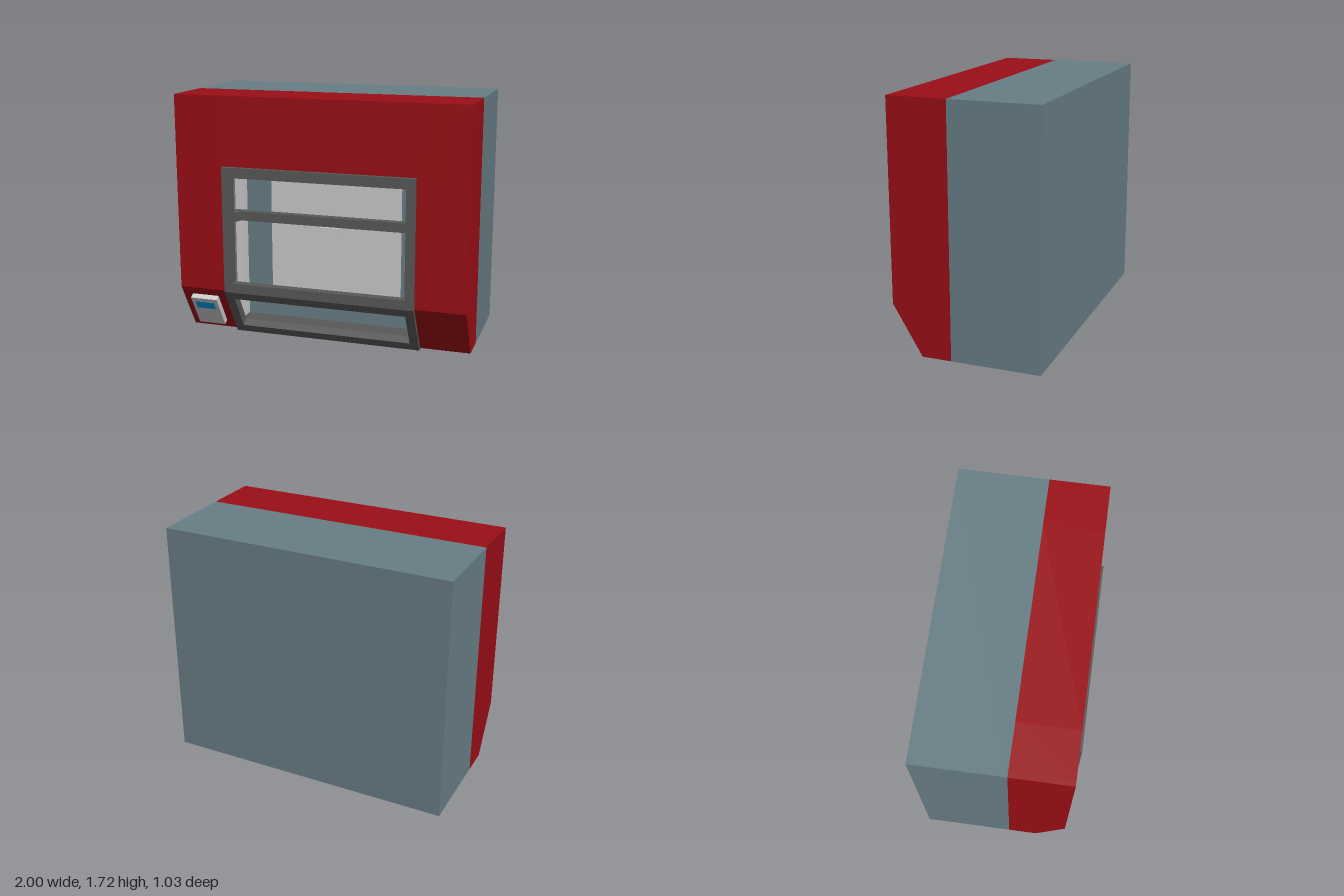
import * as THREE from 'three';

const mat = (color) => new THREE.MeshStandardMaterial({ color, flatShading: true });

export function createModel() {
  const model = new THREE.Group();
  const red = mat(0x9b0e16), slate = mat(0x687e86), dark = mat(0x595959);
  const grey = mat(0xcccccc), blue = mat(0x0b9ee8);

  const add = (name, geometry, material, parent = model) => {
    const mesh = new THREE.Mesh(geometry, material);
    mesh.name = name;
    parent.add(mesh);
    return mesh;
  };
  // Box given by its limits on each axis
  const box = (name, [x0, x1], [y0, y1], [z0, z1], material, parent) =>
    add(name, new THREE.BoxGeometry(x1 - x0, y1 - y0, z1 - z0)
      .translate((x0 + x1) / 2, (y0 + y1) / 2, (z0 + z1) / 2), material, parent);
  // Side profile of [z, y] points swept along x
  const sweep = (name, profile, x0, x1, material) => {
    const shape = new THREE.Shape(profile.map(([z, y]) => new THREE.Vector2(z, y)));
    const geometry = new THREE.ExtrudeGeometry(shape, { depth: x1 - x0, bevelEnabled: false });
    return add(name, geometry.rotateY(-Math.PI / 2).translate(x1, 0, 0), material);
  };

  // Rear housing
  box('rearHousing', [-1, 1], [0.05, 1.72], [-0.515, 0.085], slate);

  // Hollow front housing: end walls, front bands beside the door, panel above it
  const outer = [[0.085, 1.72], [0.485, 1.72], [0.485, 0.385], [0.285, 0.05], [0.085, 0.05]];
  const band = [...outer, [0.085, 0.08], [0.268, 0.08], [0.455, 0.393], [0.455, 1.69], [0.085, 1.69]];
  const header = [[0.085, 1.72], [0.485, 1.72], [0.485, 1.25], [0.455, 1.25], [0.455, 1.69], [0.085, 1.69]];
  for (const [side, s] of [['left', 1], ['right', -1]]) {
    const span = (a, b) => (s > 0 ? [a, b] : [-b, -a]);
    sweep(side + 'EndWall', outer, ...span(0.97, 1), red);
    sweep(side + 'FrontBand', band, ...span(0.66, 0.97), red);

    // Bent door rail, running under the housing
    sweep(side + 'DoorRail', [
      [0.515, 1.25], [0.515, 0.385], [0.31, 0.04], [0.085, 0.04],
      [0.085, 0.1], [0.276, 0.1], [0.455, 0.402], [0.455, 1.25],
    ], ...span(0.6, 0.66), dark);

    // Vertical guide and the carriage that rides on it
    box(side + 'Guide', span(0.66, 0.72), [0.08, 1.69], [0.085, 0.16], grey);
    box(side + 'Carriage', span(0.66, 0.725), [0.82, 0.885], [0.16, 0.262], dark);
  }
  sweep('headerPanel', header, -0.66, 0.66, red);

  // Door cross bars
  box('doorTopBar', [-0.6, 0.6], [1.18, 1.25], [0.455, 0.515], dark);
  sweep('doorMiddleBar', [
    [0.515, 0.45], [0.515, 0.385], [0.482, 0.33], [0.431, 0.361], [0.455, 0.402], [0.455, 0.45],
  ], -0.6, 0.6, dark);
  sweep('doorBottomBar', [
    [0.343, 0.095], [0.31, 0.04], [0.085, 0.04], [0.085, 0.1], [0.276, 0.1], [0.291, 0.126],
  ], -0.6, 0.6, dark);
  box('doorHandle', [-0.13, 0.13], [0, 0.04], [0.185, 0.21], grey);

  // Interior: back plate, cross beam and tool head
  box('backPlate', [-0.47, 0.47], [0.285, 1.69], [0.085, 0.1], grey);
  box('crossBeam', [-0.66, 0.66], [0.82, 0.885], [0.16, 0.22], dark);
  box('toolHead', [-0.065, 0.065], [0.75, 0.82], [0.155, 0.245], grey);

  // Control panel lying on the sloped face
  const panel = new THREE.Group();
  panel.name = 'controlPanel';
  panel.position.set(-0.8325, 0.2175, 0.385);
  panel.rotation.x = Math.atan2(0.2, 0.335);
  model.add(panel);
  box('panelBody', [-0.0975, 0.0975], [-0.125, 0.131], [0, 0.04], grey, panel);
  box('panelScreen', [-0.0725, 0.0675], [0.033, 0.097], [0.03, 0.042], blue, panel);

  return model;
}
